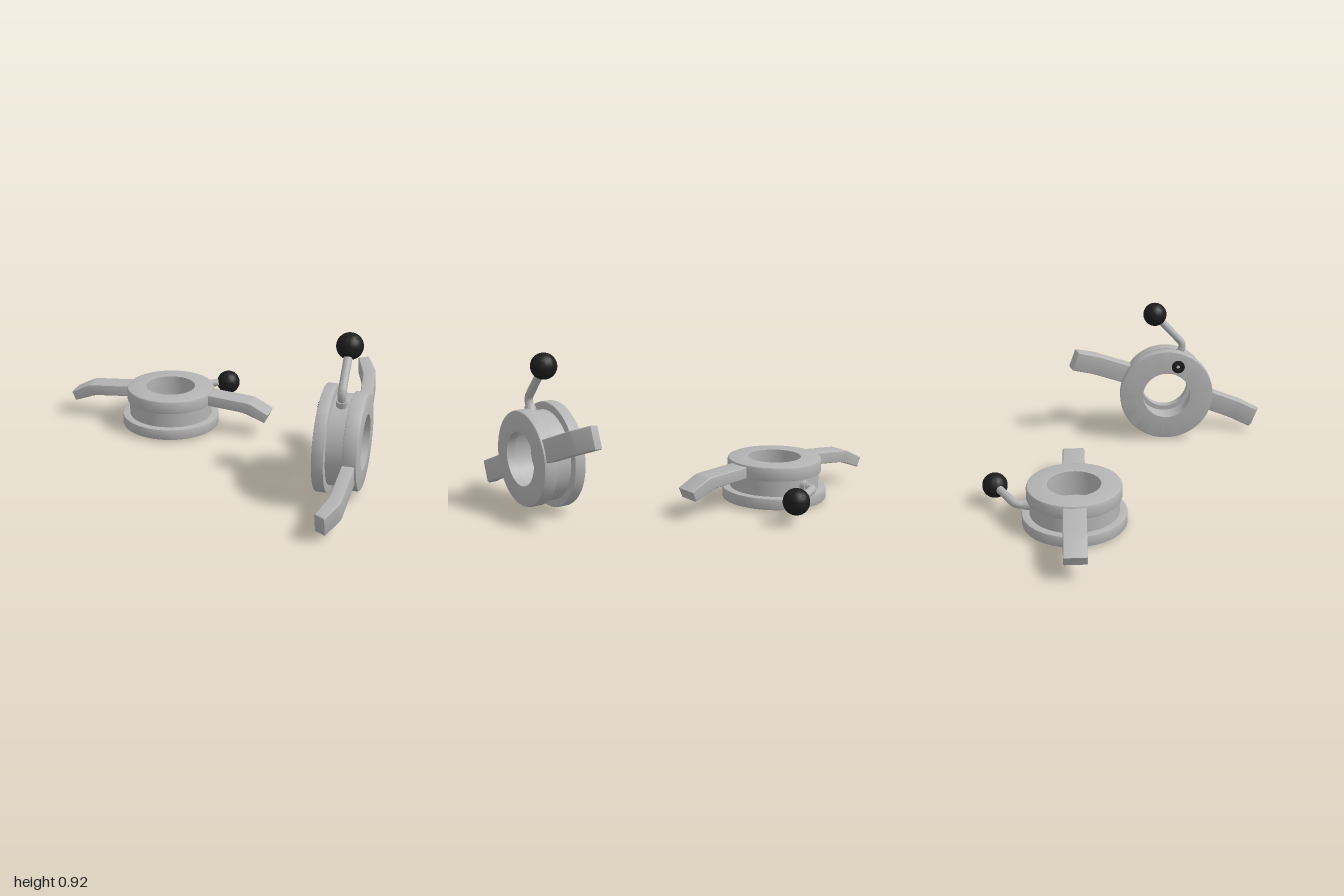
import * as THREE from 'three';
import { toCreasedNormals } from 'three/addons/utils/BufferGeometryUtils.js';

const steel = new THREE.MeshStandardMaterial({ color: 0xb4b4b4 });
steel.name = 'satin steel';
const black = new THREE.MeshStandardMaterial({ color: 0x1c1c1c });
black.name = 'black plastic';

function part(name, geometry, material) {
  const mesh = new THREE.Mesh(toCreasedNormals(geometry, 0.5), material);
  mesh.name = name;
  return mesh;
}

// Flanged hub: closed profile (radius, height) turned about y
function hub() {
  const profile = [
    [0.155, 0.012], [0.297, 0.012], [0.303, 0.014], [0.305, 0.02], [0.305, 0.072],
    [0.303, 0.078], [0.297, 0.08], [0.26, 0.08], [0.26, 0.172], [0.267, 0.172],
    [0.273, 0.174], [0.275, 0.18], [0.275, 0.242], [0.271, 0.251], [0.262, 0.255],
    [0.155, 0.255], [0.155, 0.205], [0.185, 0.205], [0.185, 0.085], [0.155, 0.085], [0.155, 0.012],
  ].map(([r, y]) => new THREE.Vector2(r, y));
  return part('hub', new THREE.LatheGeometry(profile, 96), steel);
}

// Bent wing arm: side profile extruded across its width
function wingArm(name) {
  const bevel = 0.008, width = 0.132;
  const s = new THREE.Shape();
  s.moveTo(0.25, 0.178);
  s.lineTo(0.46, 0.16);
  s.quadraticCurveTo(0.495, 0.157, 0.52, 0.147);
  s.lineTo(0.628, 0.107);
  s.lineTo(0.65, 0.157);
  s.lineTo(0.55, 0.209);
  s.quadraticCurveTo(0.53, 0.218, 0.505, 0.22);
  s.lineTo(0.25, 0.24);
  s.closePath();
  const geometry = new THREE.ExtrudeGeometry(s, {
    depth: width - 2 * bevel, curveSegments: 8,
    bevelEnabled: true, bevelSize: bevel, bevelThickness: bevel, bevelOffset: -bevel / 2, bevelSegments: 3,
  });
  geometry.translate(0, 0, -width / 2 + bevel);
  return part(name, geometry, steel);
}

// Cranked lever with a ball knob, leaving the hub towards -z
function lever() {
  const group = new THREE.Group();
  group.name = 'lever';
  const h = 0.13;
  const v = (x, z) => new THREE.Vector3(x, h, z);

  const boss = part('leverBoss', new THREE.CylinderGeometry(0.03, 0.037, 0.06, 32), steel);
  boss.rotation.x = -Math.PI / 2;
  boss.position.set(0, h, -0.262);

  const path = new THREE.CurvePath();
  path.add(new THREE.LineCurve3(v(0, -0.25), v(0, -0.305)));
  path.add(new THREE.QuadraticBezierCurve3(v(0, -0.305), v(0, -0.337), v(0.032, -0.354)));
  path.add(new THREE.LineCurve3(v(0.032, -0.354), v(0.245, -0.466)));
  const rod = part('leverRod', new THREE.TubeGeometry(path, 48, 0.024, 20), steel);

  const knob = part('ballKnob', new THREE.SphereGeometry(0.075, 40, 28), black);
  knob.position.copy(v(0.248, -0.468));
  group.add(boss, rod, knob);
  return group;
}

// Low screw head with a hexagonal socket, under the flange
function screw() {
  const s = new THREE.Shape();
  s.absarc(0, 0, 0.038, 0, Math.PI * 2);
  const socket = new THREE.Path();
  for (let i = 0; i < 6; i++) {
    const a = (-i * Math.PI) / 3;
    socket[i ? 'lineTo' : 'moveTo'](0.018 * Math.cos(a), 0.018 * Math.sin(a));
  }
  socket.closePath();
  s.holes.push(socket);
  const geometry = new THREE.ExtrudeGeometry(s, {
    depth: 0.008, curveSegments: 24, bevelThickness: 0.004, bevelSize: 0.004, bevelSegments: 2,
  });
  geometry.rotateX(Math.PI / 2);
  geometry.translate(0, 0.012, -0.215);
  return part('screwHead', geometry, black);
}

function clampNut(name) {
  const group = new THREE.Group();
  group.name = name;
  const left = wingArm('leftArm');
  const right = wingArm('rightArm');
  right.rotation.y = Math.PI;
  group.add(hub(), left, right, lever(), screw());
  return group;
}

export function createModel() {
  const model = new THREE.Group();
  model.name = 'clampNutPair';

  // One lies flat
  const flat = clampNut('flatClampNut');
  flat.position.set(-0.348, 0, -0.355);

  // One stands on its rim, axis along x, turned 20 degrees
  const upright = clampNut('uprightClampNut');
  const c = Math.cos(Math.PI / 9), s = Math.sin(Math.PI / 9);
  upright.quaternion.setFromRotationMatrix(new THREE.Matrix4().makeBasis(
    new THREE.Vector3(0, s, -c), new THREE.Vector3(1, 0, 0), new THREE.Vector3(0, -c, -s)));
  upright.position.set(0.742, 0.317, 0.265);

  model.add(flat, upright);
  return model;
}
